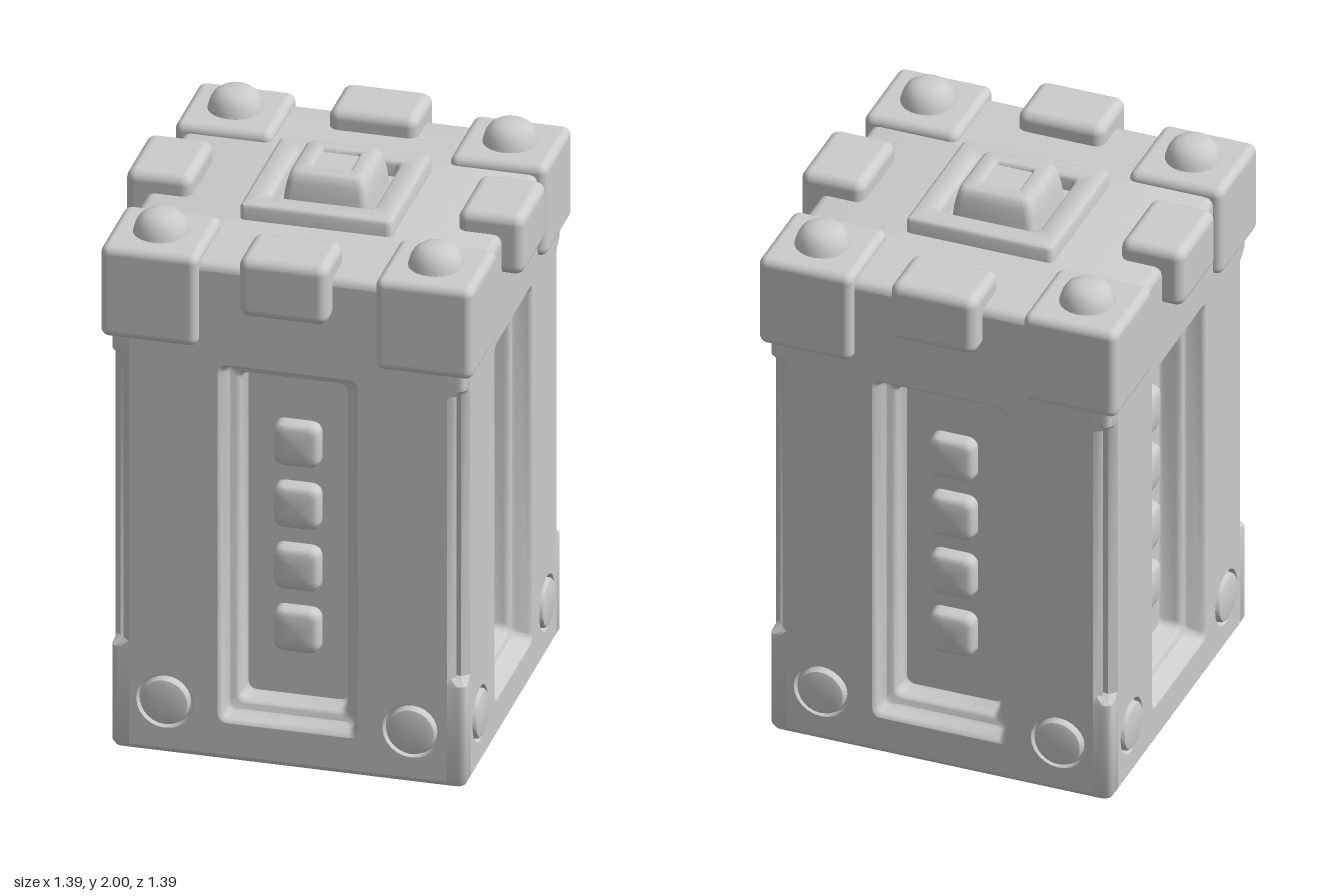
import * as THREE from 'three';
import { toCreasedNormals } from 'three/addons/utils/BufferGeometryUtils.js';
import { RoundedBoxGeometry } from 'three/addons/geometries/RoundedBoxGeometry.js';

const grey = new THREE.MeshStandardMaterial({ color: 0xcccccc });

function add(parent, name, geometry, x = 0, y = 0, z = 0) {
  const mesh = new THREE.Mesh(geometry, grey);
  mesh.name = name;
  mesh.position.set(x, y, z);
  parent.add(mesh);
  return mesh;
}

// Counter-clockwise rounded rectangle at height z (a circle when r = hx = hy)
function loop(hx, hy, r, z, cx = 0, cy = 0, n = 6) {
  const pts = [];
  [[1, 1], [-1, 1], [-1, -1], [1, -1]].forEach(([sx, sy], q) => {
    for (let i = 0; i <= n; i++) {
      const a = (q + i / n) * Math.PI / 2;
      pts.push([cx + sx * (hx - r) + r * Math.cos(a), cy + sy * (hy - r) + r * Math.sin(a), z]);
    }
  });
  return pts;
}

// Skin between loops, closed at the end and optionally at the start
function loft(rings, { start = false, skip = () => false } = {}) {
  const n = rings[0].length;
  const pos = rings.flat(2);
  const index = [];
  for (let k = 0; k < rings.length - 1; k++) {
    for (let i = 0; i < n; i++) {
      if (skip(k, i)) continue;
      const j = (i + 1) % n, a = k * n + i, b = k * n + j;
      index.push(a, b, b + n, a, b + n, a + n);
    }
  }
  const cap = (ring, base, flip) => {
    const c = pos.length / 3;
    pos.push(...[0, 1, 2].map(d => ring.reduce((s, p) => s + p[d], 0) / n));
    for (let i = 0; i < n; i++) {
      const j = (i + 1) % n;
      index.push(c, base + (flip ? j : i), base + (flip ? i : j));
    }
  };
  cap(rings[rings.length - 1], (rings.length - 1) * n, false);
  if (start) cap(rings[0], 0, true);
  const g = new THREE.BufferGeometry();
  g.setAttribute('position', new THREE.Float32BufferAttribute(pos, 3));
  g.setIndex(index);
  return toCreasedNormals(g, 0.75);
}

const squares = list => list.map(([h, r, z]) => loop(h, h, r, z));
const circles = list => list.map(([r, z]) => loop(r, r, r, z));
const upright = g => g.rotateX(-Math.PI / 2);

const W = 0.62;      // half width of the body
const E = 0.555;     // where the flat faces meet the corner posts

// Horizontal section of the body: four rounded or grooved corners
function section(y, inset, grooved) {
  let corner = [[W, E]];
  if (grooved) {
    corner.push([0.61, 0.565], [0.594, 0.581], [0.575, 0.575], [0.581, 0.594], [0.565, 0.61]);
  } else {
    for (let i = 0; i < 5; i++) {
      const a = i / 4 * Math.PI / 2;
      corner.push([0.59 + 0.03 * Math.cos(a), 0.59 + 0.03 * Math.sin(a)]);
    }
  }
  corner.push([E, W]);
  const s = (W - inset) / W;
  const out = [];
  for (let q = 0; q < 4; q++) {
    for (const [x, z] of corner) {
      const [u, v] = [[x, z], [-z, x], [-x, -z], [z, -x]][q];
      out.push([u * s, v * s, y]);
    }
  }
  return out;
}

function bodyShell() {
  const rings = [
    [0, 0.025], [0.008, 0.009], [0.025, 0], [0.385, 0], [0.41, 0, true], [1.47, 0, true],
    [1.5, 0], [1.84, 0], [1.853, 0.004], [1.864, 0.014], [1.868, 0.03],
  ].map(a => section(...a));
  return upright(loft(rings, { start: true, skip: (k, i) => k >= 2 && k < 7 && i % 7 === 6 }));
}

// One side: flat face with openings, stepped recess, buttons and bolts
function makeSide() {
  const side = new THREE.Group();
  side.name = 'side';
  const v2 = pts => pts.map(p => new THREE.Vector2(p[0], p[1]));
  const face = new THREE.Shape(v2([[-E, 0.025], [E, 0.025], [E, 1.84], [-E, 1.84]]));
  face.holes.push(new THREE.Path(v2(loop(0.245, 0.675, 0.03, 0, 0, 0.82))));
  for (const s of [-1, 1]) face.holes.push(new THREE.Path(v2(loop(0.1, 0.1, 0.1, 0, s * 0.43, 0.2))));
  add(side, 'sideFace', new THREE.ShapeGeometry(face), 0, 0, W);

  const recess = [
    [0.245, 0], [0.238, -0.004], [0.232, -0.015], [0.224, -0.055], [0.217, -0.064],
    [0.198, -0.067], [0.192, -0.072], [0.187, -0.085], [0.182, -0.13], [0.175, -0.14],
  ].map(([h, z]) => loop(h, h + 0.43, 0.03, z));
  add(side, 'recessedPanel', loft(recess), 0, 0.82, W);

  const button = squares([[0.083, 0.035, 0], [0.08, 0.034, 0.03], [0.073, 0.03, 0.044], [0.058, 0.024, 0.05]]);
  for (let i = 0; i < 4; i++) add(side, 'button', loft(button), 0, 0.47 + i * 0.233, W - 0.14);

  const bolt = circles([
    [0.1, 0], [0.096, -0.005], [0.094, -0.02], [0.087, -0.02], [0.086, 0], [0.081, 0.008], [0.065, 0.012],
  ]);
  for (const s of [-1, 1]) add(side, 'bolt', loft(bolt), s * 0.43, 0.2, W);

  // Clamp folded over the top edge
  add(side, 'edgeClamp', new RoundedBoxGeometry(0.31, 0.222, 0.23, 5, 0.035), 0, 1.829, 0.58);
  return side;
}

export function createModel() {
  const model = new THREE.Group();
  model.name = 'crate';
  add(model, 'body', bodyShell());

  for (let q = 0; q < 4; q++) {
    const side = makeSide();
    side.rotation.y = q * Math.PI / 2;
    model.add(side);
  }

  // Corner caps with round studs
  const stud = circles([[0.098, -0.01], [0.094, 0.01], [0.087, 0.032], [0.074, 0.054], [0.055, 0.068], [0.03, 0.075]]);
  for (const x of [-0.48, 0.48]) {
    for (const z of [-0.48, 0.48]) {
      add(model, 'cornerCap', new RoundedBoxGeometry(0.34, 0.342, 0.34, 5, 0.03), x, 1.729, z);
      add(model, 'cornerStud', upright(loft(stud)), x, 1.9, z);
    }
  }

  // Raised square frame around a sunken well in the lid
  add(model, 'lidFrame', upright(loft(squares([
    [0.267, 0.02, 1.85], [0.266, 0.02, 1.91], [0.262, 0.018, 1.92], [0.252, 0.015, 1.925],
    [0.19, 0.03, 1.925], [0.183, 0.03, 1.921], [0.178, 0.028, 1.91], [0.174, 0.025, 1.87],
  ]))));

  // Central block with a shallow square dent
  add(model, 'lidBlock', upright(loft(squares([
    [0.152, 0.03, 1.865], [0.146, 0.03, 1.925], [0.138, 0.028, 1.965], [0.13, 0.026, 1.99], [0.118, 0.02, 2],
    [0.075, 0.012, 2], [0.07, 0.012, 1.997], [0.066, 0.01, 1.987],
  ]))));
  return model;
}
